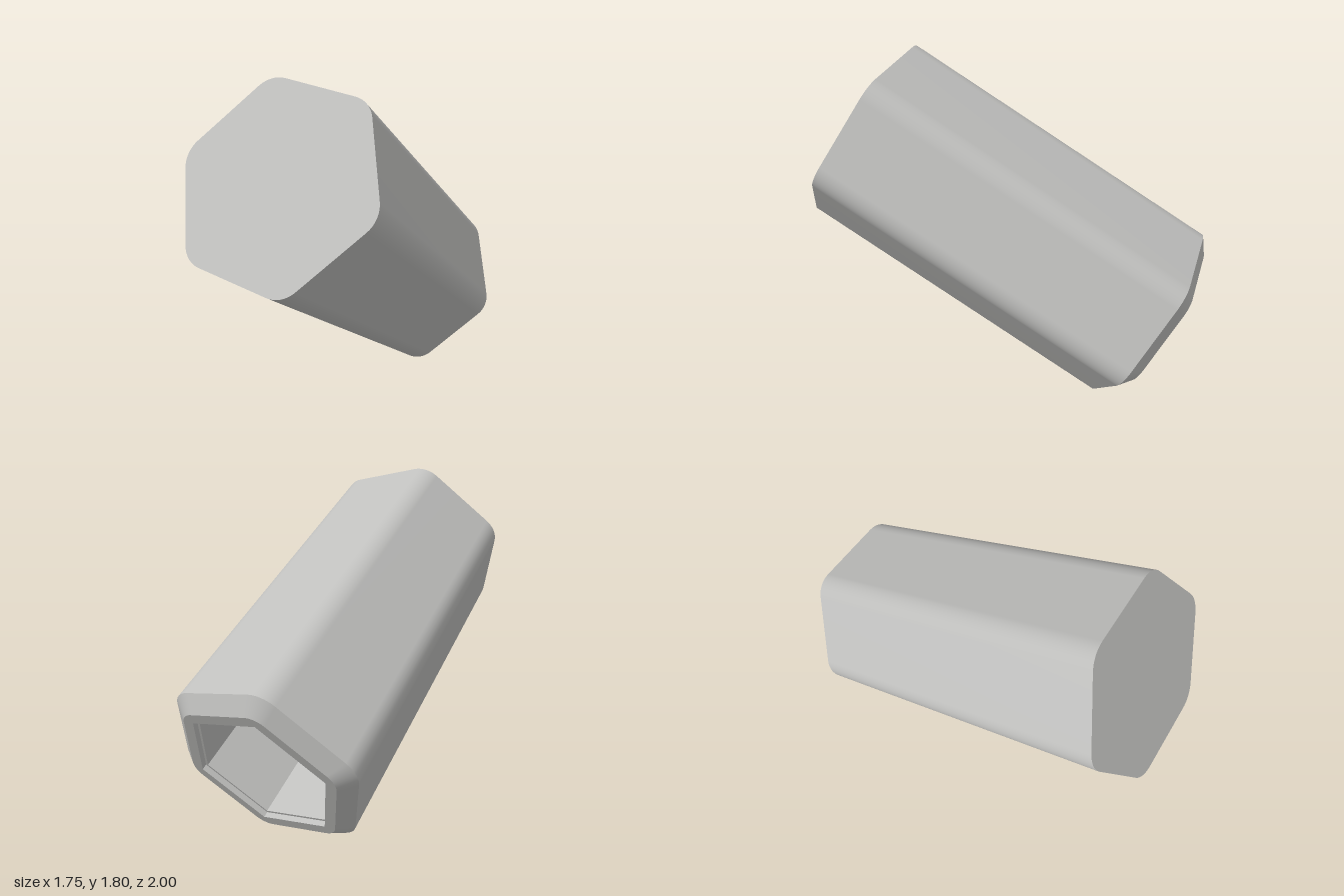
import * as THREE from 'three';

const ARC = 8;

// Rounded hexagon: apothem a, corner radius r, at height z along the axis.
// r = 0 is a sharp hexagon, r = a is a circle; the point count is always equal.
function ring(a, r, z) {
  const pts = [];
  const core = (a - r) / Math.cos(Math.PI / 6);
  for (let k = 0; k < 6; k++) {
    const corner = THREE.MathUtils.degToRad(6 + 60 * k);
    for (let i = 0; i <= ARC; i++) {
      const t = corner + THREE.MathUtils.degToRad(-30 + 60 * i / ARC);
      pts.push(new THREE.Vector3(
        core * Math.cos(corner) + r * Math.cos(t),
        core * Math.sin(corner) + r * Math.sin(t), z));
    }
  }
  return pts;
}

// Strip of quads joining two rings
function strip(from, to, flat) {
  const n = from.length, index = [];
  for (let i = 0; i < n; i++) {
    const j = (i + 1) % n;
    index.push(i, j, n + j, i, n + j, n + i);
  }
  let geo = new THREE.BufferGeometry().setFromPoints([...from, ...to]);
  geo.setIndex(index);
  if (flat) geo = geo.toNonIndexed();
  geo.computeVertexNormals();
  return geo;
}

export function createModel() {
  const grey = new THREE.MeshStandardMaterial({ color: 0xbfbfbd });
  const model = new THREE.Group();
  model.name = 'hexSocket';

  const length = 1.84, end = 1.905, floor = end - 0.48;
  const frontRim = ring(0.477, 0.14, 0);
  const shoulder = ring(0.477, 0.14, length);
  const endRim = ring(0.4, 0.1, end);
  const mouth = ring(0.345, 0, end);
  const ledgeOuter = ring(0.345, 0, end - 0.03);
  const ledgeInner = ring(0.333, 0, end - 0.03);
  const floorHex = ring(0.333, 0, floor);
  const pitRim = ring(0.225, 0.225, floor);
  const pitBase = ring(0.225, 0.225, floor - 0.12);

  // Surfaces in order from the closed front, over the outside, into the socket
  const parts = [
    ['frontFace', ring(0, 0, 0), frontRim, true],
    ['bodySides', frontRim, shoulder, false],
    ['endChamfer', shoulder, endRim, false],
    ['endFace', endRim, mouth, true],
    ['socketLip', mouth, ledgeOuter, true],
    ['socketLedge', ledgeOuter, ledgeInner, true],
    ['socketWalls', ledgeInner, floorHex, true],
    ['socketFloor', floorHex, pitRim, true],
    ['roundPitWall', pitRim, pitBase, false],
    ['roundPitFloor', pitBase, ring(0, 0, floor - 0.12), true],
  ];
  for (const [name, from, to, flat] of parts) {
    const mesh = new THREE.Mesh(strip(from, to, flat), grey);
    mesh.name = name;
    model.add(mesh);
  }

  // Tilt: local z runs from the raised front face down to the open end
  const h = Math.SQRT1_2;
  const basis = new THREE.Matrix4().makeBasis(
    new THREE.Vector3(h, h, 0),
    new THREE.Vector3(0.5, -0.5, h),
    new THREE.Vector3(0.5, -0.5, -h));
  model.quaternion.setFromRotationMatrix(basis);
  model.position.set(-0.46, 1.36, 0.65);
  return model;
}
